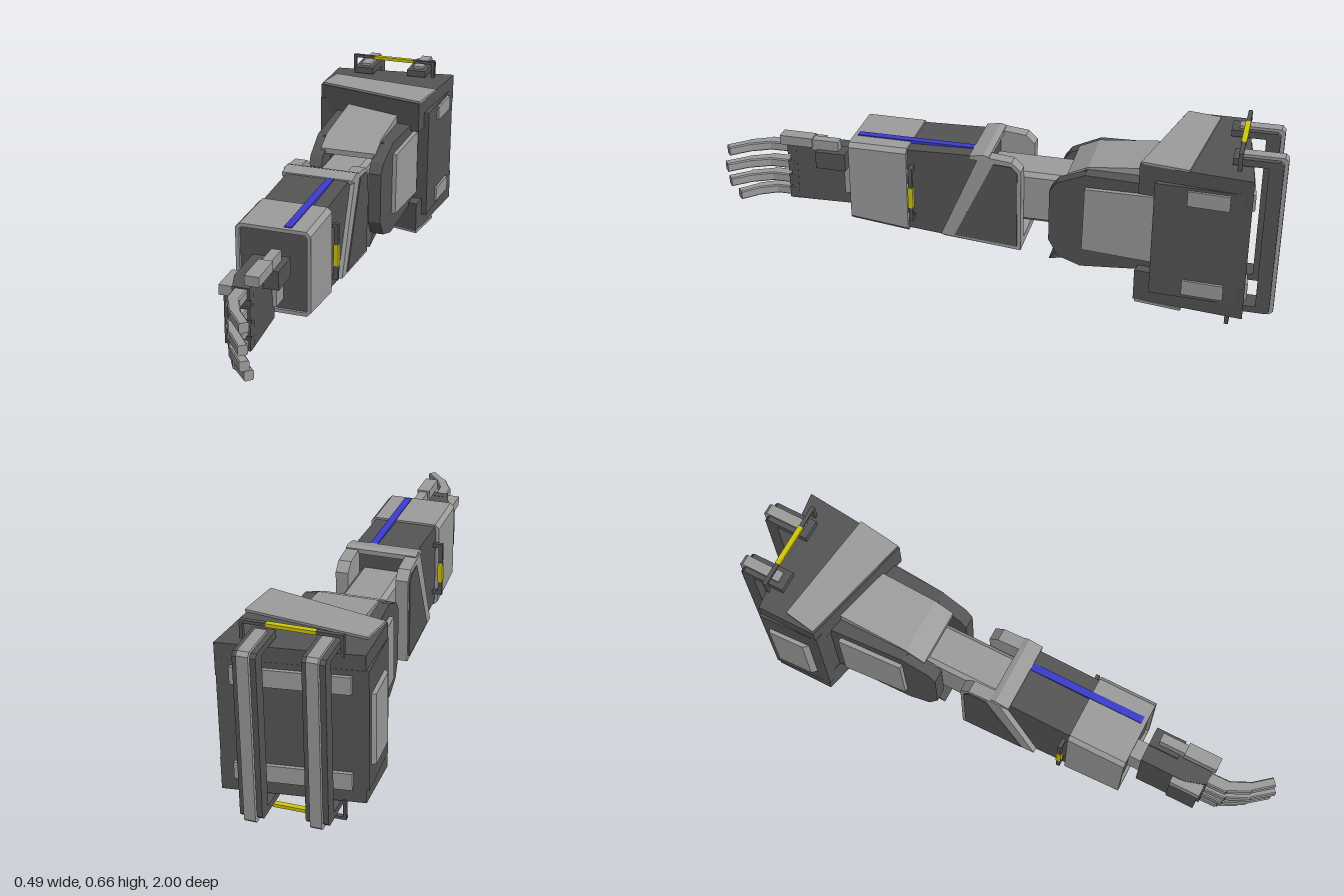
import * as THREE from 'three';

const material = (color) => new THREE.MeshStandardMaterial({ color });
const dark = material(0x555555);
const light = material(0x9c9c9c);
const yellow = material(0xcfc70c);
const blue = material(0x3c3ccc);

export function createModel() {
  const model = new THREE.Group();
  model.name = 'mechanicalArm';

  const add = (name, geometry, mat) => {
    const mesh = new THREE.Mesh(geometry, mat);
    mesh.name = name;
    model.add(mesh);
    return mesh;
  };
  // Box given by its limits
  const box = (name, mat, x0, x1, y0, y1, z0, z1) => {
    const g = new THREE.BoxGeometry(x1 - x0, y1 - y0, z1 - z0);
    return add(name, g.translate((x0 + x1) / 2, (y0 + y1) / 2, (z0 + z1) / 2), mat);
  };
  const extrude = (pts, depth, hole) => {
    const shape = new THREE.Shape(pts.map(([a, b]) => new THREE.Vector2(a, b)));
    if (hole) shape.holes.push(new THREE.Path(hole.map(([a, b]) => new THREE.Vector2(a, b))));
    return new THREE.ExtrudeGeometry(shape, { depth, bevelEnabled: false });
  };
  // Side outline of [z, y] points, extruded from x0 to x1
  const side = (name, mat, x0, x1, pts) =>
    add(name, extrude(pts, x1 - x0).rotateY(-Math.PI / 2).translate(x1, 0, 0), mat);
  // Plan outline of [x, z] points, extruded from y0 to y1
  const plan = (name, mat, y0, y1, pts) =>
    add(name, extrude(pts, y1 - y0).rotateX(Math.PI / 2).translate(0, y1, 0), mat);
  // Rectangle with chamfered corners
  const chamfered = (x0, x1, y0, y1, c) => [
    [x0 + c, y0], [x1 - c, y0], [x1, y0 + c], [x1, y1 - c],
    [x1 - c, y1], [x0 + c, y1], [x0, y1 - c], [x0, y0 + c]];
  // Narrows a mesh in x towards the elbow
  const taper = (mesh) => {
    const p = mesh.geometry.attributes.position;
    for (let i = 0; i < p.count; i++) {
      p.setX(i, 0.01 + p.getX(i) * (1 - 0.36 * (p.getZ(i) + 0.6)));
    }
    mesh.geometry.computeVertexNormals();
    return mesh;
  };

  // Shoulder: core with overhanging slabs above and below, skewed back
  plan('shoulderCore', dark, 0.12, 0.54, [[-0.23, -0.84], [0.235, -0.9], [0.225, -0.58], [-0.22, -0.62]]);
  const slab = [[-0.22, -0.84], [0.237, -0.9], [0.2, -0.525], [-0.22, -0.625]];
  const cover = [[-0.195, -0.745], [0.222, -0.69], [0.2, -0.53], [-0.215, -0.63]];
  for (const [y0, y1, c0, c1, t0, t1] of [
    [0.48, 0.592, 0.592, 0.6, 0.475, 0.53], [0.07, 0.185, 0.06, 0.07, 0.135, 0.19]]) {
    plan('shoulderSlab', dark, y0, y1, slab);
    plan('shoulderCover', light, c0, c1, cover);
    plan('shoulderTile', light, t0, t1, [[0.2, -0.83], [0.243, -0.83], [0.236, -0.69], [0.2, -0.69]]);
  }
  plan('shoulderSidePanel', light, 0.2, 0.45, [[-0.22, -0.82], [-0.243, -0.81], [-0.238, -0.68], [-0.22, -0.66]]);

  // Back of the shoulder: cross strips and two C-shaped rails
  const backZ = (x) => -0.87 - 0.13 * x;
  for (const y of [0.15, 0.49]) {
    plan('backStrip', light, y - 0.03, y + 0.03, [
      [-0.18, backZ(-0.18) + 0.01], [0.19, backZ(0.19) + 0.01],
      [0.19, backZ(0.19) - 0.012], [-0.18, backZ(-0.18) - 0.012]]);
  }
  const rail = (name, mat, x, half, front, back, y0, y1, thick) => {
    const z = backZ(x), f = z + front, b = z + back, c = 0.012;
    side(name, mat, x - half, x + half, [
      [f, y1], [b + c, y1], [b, y1 - c], [b, y0 + c], [b + c, y0], [f, y0],
      [f, y0 + thick], [b + thick * 2, y0 + thick], [b + thick * 2, y1 - thick], [f, y1 - thick]]);
  };
  for (const x of [-0.1, 0.105]) {
    rail('backRail', dark, x, 0.037, 0.065, -0.1, 0.04, 0.62, 0.024);
    rail('railInsert', light, x, 0.019, 0.04, -0.113, 0.03, 0.63, 0.02);
  }

  // Lifting handles above and below the shoulder
  for (const [foot, tip] of [[0.58, 0.655], [0.075, 0]]) {
    const lo = Math.min(foot, tip), hi = Math.max(foot, tip);
    const inner = tip > foot ? tip - 0.011 : 0.011;
    for (const x of [-0.157, 0.162]) box('handleLeg', dark, x, x + 0.011, lo, hi, -0.852, -0.838);
    const a = Math.min(inner, tip), b = Math.max(inner, tip);
    box('handleBar', dark, -0.157, 0.173, a, b, -0.852, -0.838);
    box('handleGrip', yellow, -0.07, 0.087, a - 0.0005, b + 0.0005, -0.854, -0.836);
  }

  // Upper arm: core, side plates, panels and covers
  box('upperArmCore', dark, -0.11, 0.12, 0.18, 0.5, -0.62, -0.33);
  for (const s of [-1, 1]) {
    const span = (a, b) => (s > 0 ? [a, b] : [-b, -a]);
    taper(side('upperArmPlate', dark, ...span(0.105, 0.16), [
      [-0.62, 0.5], [-0.34, 0.5], [-0.24, 0.455], [-0.215, 0.42],
      [-0.215, 0.23], [-0.25, 0.17], [-0.33, 0.145], [-0.62, 0.18]]));
    taper(side('upperArmPanel', light, ...span(0.155, 0.177), [
      [-0.575, 0.465], [-0.34, 0.455], [-0.335, 0.22], [-0.575, 0.215]]));
  }
  side('upperArmTopCover', light, -0.1, 0.11, [
    [-0.6, 0.535], [-0.34, 0.508], [-0.27, 0.475], [-0.27, 0.455], [-0.35, 0.48], [-0.6, 0.49]]);
  side('upperArmBottomFlap', dark, -0.09, 0.11, [
    [-0.6, 0.2], [-0.27, 0.2], [-0.21, 0.13], [-0.3, 0.15], [-0.6, 0.18]]);

  // Elbow link
  add('elbowLink', extrude(chamfered(-0.075, 0.08, 0.25, 0.44, 0.015), 0.43).translate(0, 0, -0.4), light);

  // Forearm: body, open rear cheeks, floor and collar
  side('forearmBody', dark, -0.11, 0.115, [
    [0.01, 0.505], [0.32, 0.495], [0.32, 0.19], [0.01, 0.165]]);
  for (const s of [-1, 1]) {
    const span = (a, b) => (s > 0 ? [a, b] : [-b, -a]);
    side('elbowCheek', light, ...span(0.085, 0.13), [
      [0.035, 0.512], [-0.08, 0.5], [-0.113, 0.47], [-0.113, 0.16], [0.175, 0.185]]);
    side('elbowCheekPanel', dark, ...span(0.125, 0.134), [
      [-0.015, 0.488], [-0.078, 0.484], [-0.1, 0.46], [-0.1, 0.175], [0.125, 0.19]]);
  }
  side('elbowFloor', light, -0.1, 0.11, [
    [-0.113, 0.19], [0.18, 0.19], [0.17, 0.17], [-0.08, 0.15], [-0.113, 0.16]]);
  side('forearmCollar', light, -0.125, 0.13, [
    [0.07, 0.495], [0.07, 0.508], [0.02, 0.518], [0, 0.512], [0, 0.495]]);

  // Wrist cuff: light frame around a dark front plate
  const cuff = add('wristCuff', extrude(
    chamfered(-0.125, 0.133, 0.19, 0.503, 0.015), 0.21,
    chamfered(-0.112, 0.12, 0.203, 0.49, 0.008)).translate(0, 0, 0.295), light);
  const p = cuff.geometry.attributes.position;
  for (let i = 0; i < p.count; i++) {
    // Underside rises towards the hand
    if (p.getY(i) < 0.3) p.setY(i, p.getY(i) + (p.getZ(i) - 0.4) * 0.11);
  }
  cuff.geometry.computeVertexNormals();
  box('cuffFrontPlate', dark, -0.117, 0.125, 0.205, 0.495, 0.31, 0.494);
  box('topStripe', blue, 0.038, 0.064, 0.48, 0.507, 0.07, 0.49);

  // Forearm side handles
  for (const [x0, x1] of [[-0.146, -0.131], [0.136, 0.151]]) {
    box('sideHandle', dark, x0, x1, 0.235, 0.44, 0.27, 0.284);
    box('sideHandleGrip', yellow, x0 - 0.001, x1 + 0.001, 0.287, 0.365, 0.268, 0.286);
    for (const y of [0.235, 0.425]) {
      box('sideHandleFoot', dark, Math.min(x0, 0.1), Math.max(x1, -0.1), y, y + 0.015, 0.27, 0.284);
    }
  }

  // Hand
  box('wrist', light, -0.035, 0.035, 0.25, 0.355, 0.48, 0.56);
  plan('palm', dark, 0.2, 0.418, [[-0.05, 0.54], [0.02, 0.54], [0.03, 0.765], [-0.03, 0.765], [-0.05, 0.7]]);
  box('knuckleGuard', light, -0.074, -0.03, 0.38, 0.415, 0.66, 0.77);
  box('backOfHandPlate', dark, -0.06, -0.03, 0.21, 0.38, 0.66, 0.765);
  box('thumbBase', dark, 0.01, 0.078, 0.36, 0.425, 0.54, 0.65);
  box('thumbLower', light, 0.025, 0.058, 0.42, 0.462, 0.57, 0.67);
  box('thumbUpper', light, 0.018, 0.066, 0.433, 0.468, 0.665, 0.785);

  // Fingers curl towards the palm side
  const path = [[0, 0.755], [0.002, 0.84], [0.035, 0.91], [0.088, 0.975]];
  [[0.398, 0.98], [0.33, 1.04], [0.272, 1], [0.222, 0.85]].forEach(([y, length], f) => {
    box('knuckle', dark, -0.028, 0.03, y - 0.021, y + 0.021, 0.74, 0.775);
    for (let i = 0; i < 3; i++) {
      const [xa, za] = path[i], [xb, zb] = path[i + 1];
      const dx = xb - xa, dz = (zb - za) * length;
      const seg = add('finger' + (f + 1) + 'Segment' + (i + 1), extrude(
        chamfered(-0.022 + i * 0.003, 0.022 - i * 0.003, -0.017, 0.017, 0.004),
        Math.hypot(dx, dz) + 0.006), light);
      seg.position.set(xa, y, 0.755 + (za - 0.755) * length);
      seg.rotation.y = Math.atan2(dx, dz);
    }
  });

  return model;
}
